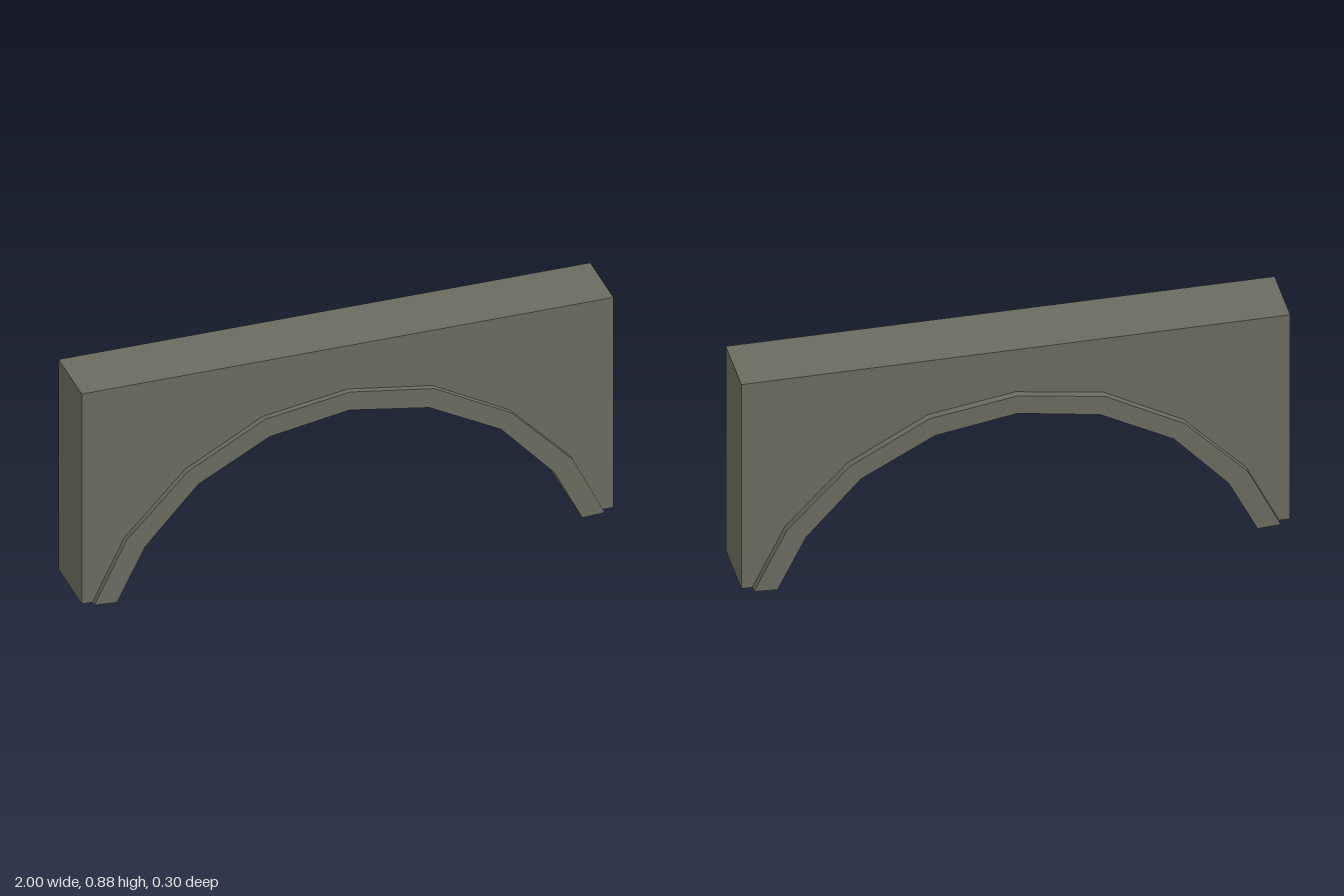
import * as THREE from 'three';

// Right half of each arch curve, from springing to crown
const OUTER = [[0.96, 0.005], [0.84, 0.25], [0.61, 0.49], [0.32, 0.65], [0, 0.70]];
const INNER = [[0.875, 0], [0.77, 0.21], [0.57, 0.43], [0.30, 0.575], [0, 0.625]];

// Mirror a half curve into a full one running from +x over the crown to -x
function fullCurve(half) {
  const left = half.slice(0, -1).reverse().map(([x, y]) => [-x, y]);
  return [...half, ...left].map(([x, y]) => new THREE.Vector2(x, y));
}

// Smooth band following a curve between two depths; flip turns it to face inward
function band(curve, z0, z1, flip) {
  const position = [], index = [];
  curve.forEach((p, i) => {
    position.push(p.x, p.y, z0, p.x, p.y, z1);
    if (i === 0) return;
    const a = 2 * i - 2, b = a + 1, c = a + 2, d = a + 3;
    index.push(...(flip ? [a, c, b, b, c, d] : [a, b, c, b, d, c]));
  });
  const geometry = new THREE.BufferGeometry();
  geometry.setAttribute('position', new THREE.Float32BufferAttribute(position, 3));
  geometry.setIndex(index);
  geometry.computeVertexNormals();
  return geometry;
}

export function createModel() {
  const model = new THREE.Group();
  model.name = 'archway';
  const stone = new THREE.MeshStandardMaterial({ color: 0x6b6c60 });
  stone.name = 'greyStone';
  const outer = fullCurve(OUTER), inner = fullCurve(INNER);

  function add(parent, name, geometry) {
    const mesh = new THREE.Mesh(geometry, stone);
    mesh.name = name;
    parent.add(mesh);
    return mesh;
  }

  // Flat-topped wall with the arch cut out of its underside
  const wallShape = new THREE.Shape([
    new THREE.Vector2(-1, 0.005), ...outer.slice().reverse(),
    new THREE.Vector2(1, 0.005), new THREE.Vector2(1, 0.88), new THREE.Vector2(-1, 0.88),
  ]);
  const wall = new THREE.ExtrudeGeometry(wallShape, { depth: 0.25, bevelEnabled: false });
  wall.translate(0, 0, -0.1225);
  add(model, 'wall', wall);

  // Projecting arch ring: two faces, rim, soffit and feet
  const ring = new THREE.Group();
  ring.name = 'archRing';
  model.add(ring);
  const face = new THREE.ShapeGeometry(new THREE.Shape([...outer, ...inner.slice().reverse()]));
  add(ring, 'ringFront', face).position.z = 0.15;
  const back = add(ring, 'ringBack', face);
  back.position.z = -0.15;
  back.rotation.y = Math.PI;
  add(ring, 'ringRim', band(outer, 0.15, -0.15, false));
  add(ring, 'ringSoffit', band(inner, 0.15, -0.15, true));
  const last = outer.length - 1;
  add(ring, 'leftFoot', band([inner[0], outer[0]], 0.15, -0.15, false));
  add(ring, 'rightFoot', band([outer[last], inner[last]], 0.15, -0.15, false));

  // Check winding: every band is ordered so its front side faces out of the stone
  ring.traverse((part) => {
    if (!part.isMesh || !['ringRim', 'ringSoffit', 'leftFoot', 'rightFoot'].includes(part.name)) return;
    part.geometry.computeBoundingSphere();
  });
  return model;
}
